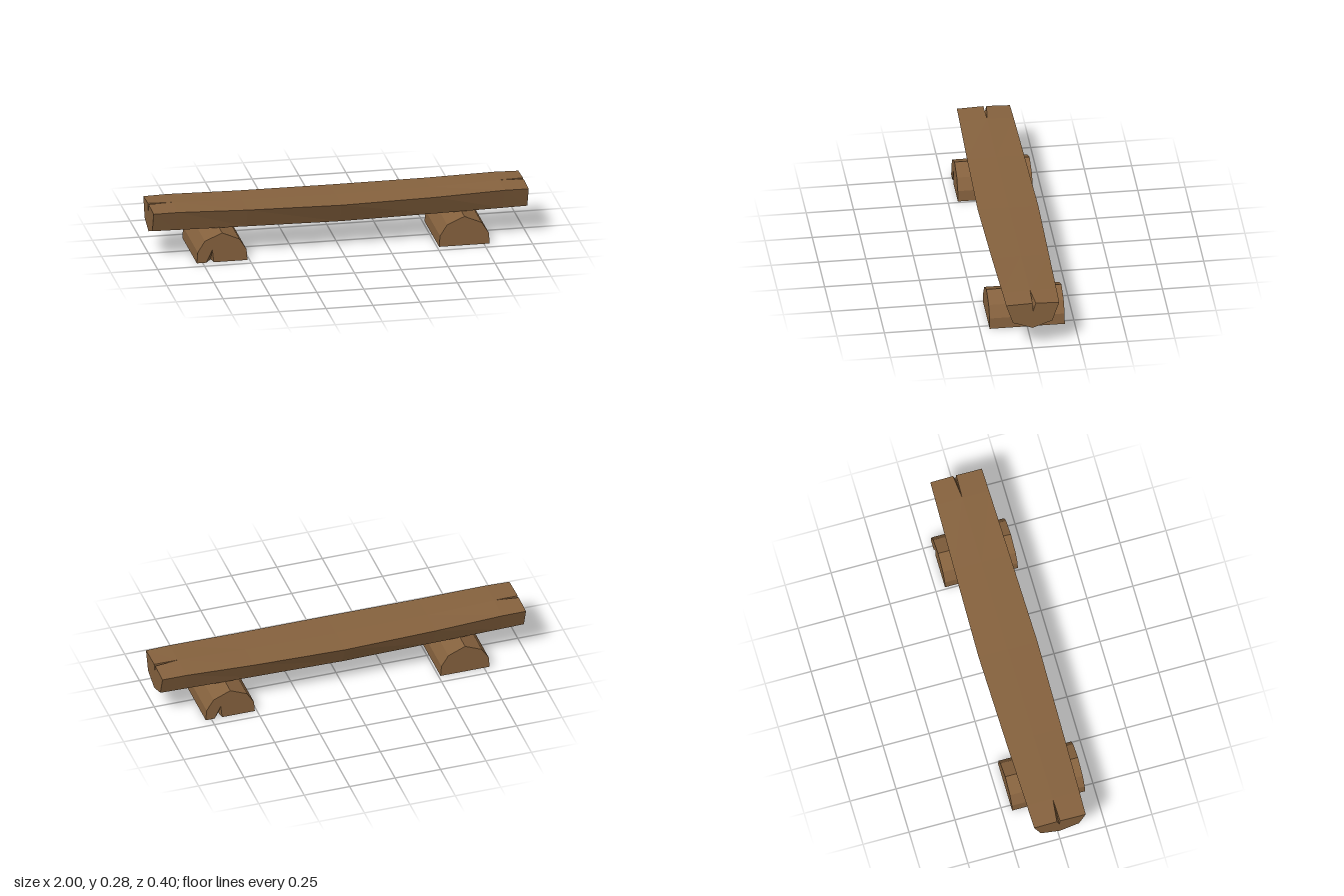
import * as THREE from 'three';

// Joins rings of [x, y] points (counter-clockwise) along z; caps fan from point `hub`.
function loft(sections, hub) {
  const pos = [];
  const n = sections[0].ring.length;
  const tri = (...pts) => pts.forEach((p) => pos.push(...p));
  const rings = sections.map(({ z, ring }) => ring.map(([x, y]) => [x, y, z]));
  const last = rings.length - 1;
  for (let j = 0; j < n; j++) {
    const k = (j + 1) % n;
    for (let i = 0; i < last; i++) {
      const [a, b] = [rings[i], rings[i + 1]];
      tri(a[j], a[k], b[k]);
      tri(a[j], b[k], b[j]);
    }
    if (j !== hub && k !== hub) {
      tri(rings[0][hub], rings[0][k], rings[0][j]);
      tri(rings[last][hub], rings[last][j], rings[last][k]);
    }
  }
  const geo = new THREE.BufferGeometry();
  geo.setAttribute('position', new THREE.Float32BufferAttribute(pos, 3));
  geo.computeVertexNormals();
  return geo;
}

// Sagging split-log seat with a crack in the top of each end
function seatGeometry() {
  // distance, top half width, edge y, centre y, lower half width, lower y, bottom y, crack width, crack depth
  const half = [
    [0, 0.16, 0.255, 0.256, 0.11, 0.148, 0.108, 0, 0],
    [0.5, 0.151, 0.26, 0.262, 0.108, 0.154, 0.114, 0, 0],
    [0.87, 0.143, 0.27, 0.275, 0.105, 0.159, 0.12, 0, 0],
    [1, 0.14, 0.268, 0.273, 0.104, 0.161, 0.123, 0.017, 0.048],
  ];
  const section = (sign) => ([d, w, ye, yc, wl, yl, yb, cw, cd]) => ({
    z: sign * d,
    ring: [
      [0, yb], [wl, yl], [w, ye],
      [0.003 + cw * 0.8, yc], [0.003, yc - cd], [0.003 - cw * 0.2, yc],
      [-w, ye], [-wl, yl],
    ],
  });
  const sections = [
    ...half.slice(1).reverse().map(section(-1)),
    ...half.map(section(1)),
  ];
  return loft(sections, 4).rotateY(Math.PI / 2);
}

// Half-log support with a crack at the foot of its +z end
function supportGeometry() {
  const ring = (crack) => [
    [-0.135, 0],
    [-0.052 - 0.033 * crack, 0], [-0.052, 0.07 * crack], [-0.052 + 0.007 * crack, 0],
    [0.135, 0], [0.13, 0.06], [0.092, 0.12],
    [0, 0.16], [-0.092, 0.12], [-0.13, 0.06],
  ];
  return loft([
    { z: -0.198, ring: ring(0) },
    { z: 0.15, ring: ring(0) },
    { z: 0.198, ring: ring(1) },
  ], 2);
}

export function createModel() {
  const group = new THREE.Group();
  group.name = 'logBench';
  const wood = new THREE.MeshStandardMaterial({ color: 0x86623e, flatShading: true });
  wood.name = 'brown wood';

  const seat = new THREE.Mesh(seatGeometry(), wood);
  seat.name = 'seat';
  group.add(seat);

  // The left support is the right one turned half way round
  const support = supportGeometry();
  for (const side of [-1, 1]) {
    const mesh = new THREE.Mesh(support, wood);
    mesh.name = side < 0 ? 'rightSupport' : 'leftSupport';
    mesh.position.x = side * 0.646;
    mesh.rotation.y = side < 0 ? 0 : Math.PI;
    group.add(mesh);
  }
  return group;
}
